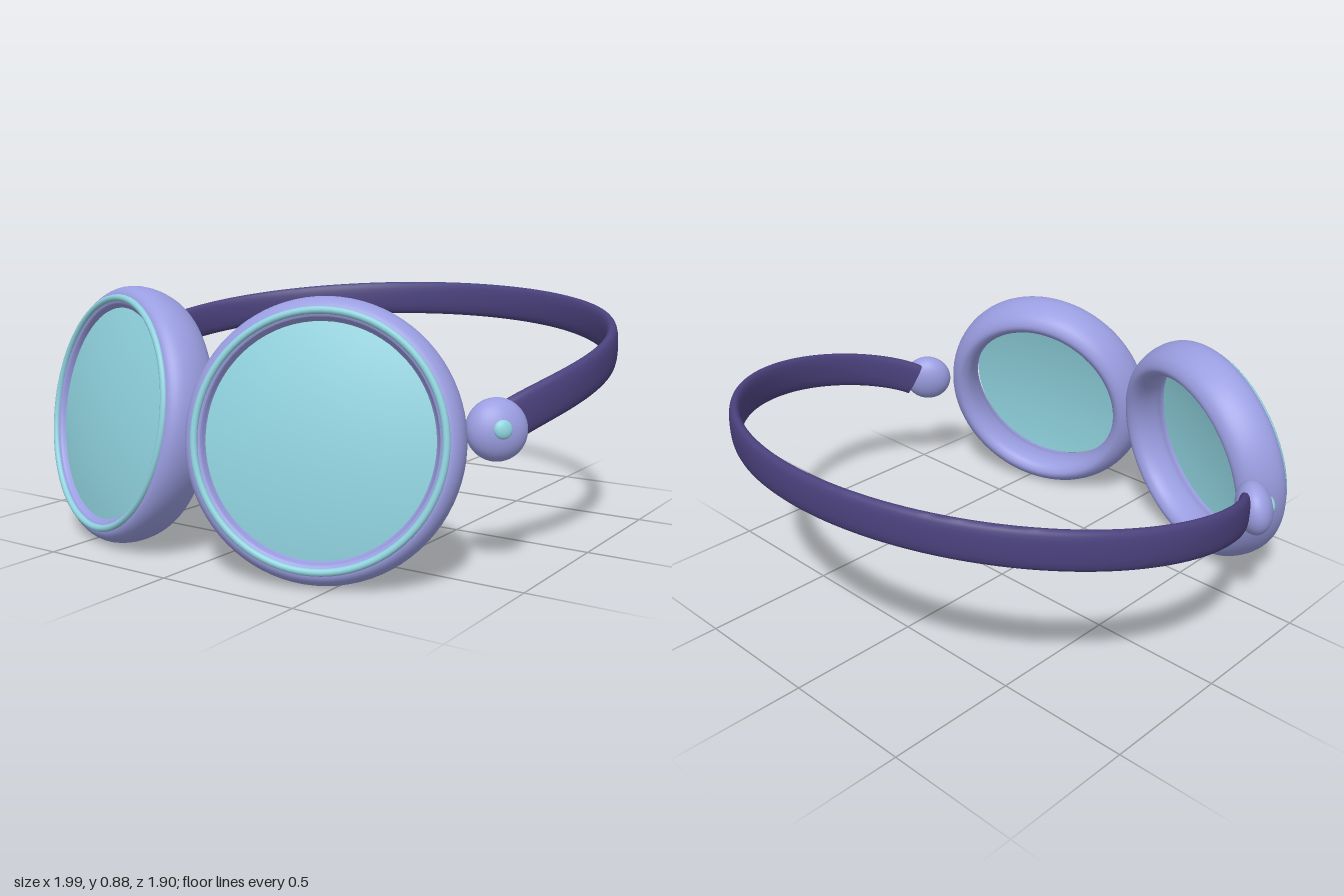
import * as THREE from 'three';
import { toCreasedNormals } from 'three/addons/utils/BufferGeometryUtils.js';

function material(name, color) {
  const m = new THREE.MeshStandardMaterial({ color });
  m.name = name;
  return m;
}

function mesh(name, geometry, mat) {
  const m = new THREE.Mesh(geometry, mat);
  m.name = name;
  return m;
}

// Group facing outwards by yaw and upwards by pitch
function tilted(name, x, y, z, yaw, pitch) {
  const g = new THREE.Group();
  g.name = name;
  g.position.set(x, y, z);
  g.rotation.set(-pitch, yaw, 0, 'YXZ');
  return g;
}

// Rounded cup wall, closed profile turned about z, front lip at z = 0
function cupGeometry() {
  const points = [
    [0.377, -0.006], [0.368, -0.03], [0.348, -0.06], [0.336, -0.1], [0.333, -0.142],
    [0.344, -0.177], [0.373, -0.195], [0.411, -0.175], [0.437, -0.125], [0.445, -0.07],
    [0.437, -0.03], [0.418, -0.006], [0.395, 0],
  ].map(([r, h]) => new THREE.Vector3(r, h, 0));
  const curve = new THREE.CatmullRomCurve3(points, true);
  const profile = curve.getPoints(52).map(p => new THREE.Vector2(p.x, p.y));
  return new THREE.LatheGeometry(profile, 80).rotateX(Math.PI / 2);
}

// Shallow spherical cap for the lens, edge at z = 0
function lensGeometry(radius, height) {
  const R = (radius * radius + height * height) / (2 * height);
  return new THREE.SphereGeometry(R, 72, 8, 0, Math.PI * 2, 0, Math.asin(radius / R))
    .rotateX(Math.PI / 2).translate(0, 0, height - R);
}

// Elliptical head strap that rises towards the back
function strapGeometry() {
  const steps = 120, sides = 24, end = 2.075;
  const centre = phi => {
    const z = -0.08 - 0.85 * Math.cos(phi);
    const t = Math.max(0, (0.345 - z) / 1.275);
    return new THREE.Vector3(0.975 * Math.sin(phi), 0.44 + 0.31 * Math.pow(t + 0.02, 0.55), z);
  };
  const soft = v => Math.sign(v) * Math.pow(Math.abs(v), 0.8);
  const pos = [], index = [];
  for (let i = 0; i <= steps; i++) {
    const phi = -end + (2 * end * i) / steps;
    const c = centre(phi);
    const T = centre(phi + 0.01).sub(centre(phi - 0.01)).normalize();
    const N = new THREE.Vector3(0.85 * Math.sin(phi), 0, -0.975 * Math.cos(phi)).normalize();
    const U = T.clone().cross(N).normalize();
    for (let j = 0; j < sides; j++) {
      const a = (j / sides) * Math.PI * 2;
      const p = c.clone().addScaledVector(N, 0.0225 * soft(Math.cos(a)))
        .addScaledVector(U, 0.07 * soft(Math.sin(a)));
      pos.push(p.x, p.y, p.z);
    }
  }
  for (let i = 0; i < steps; i++) {
    for (let j = 0; j < sides; j++) {
      const k = (j + 1) % sides;
      const a = i * sides + j, b = i * sides + k;
      index.push(a, b, a + sides, b, b + sides, a + sides);
    }
  }
  // End caps
  const last = steps * sides;
  for (let j = 1; j < sides - 1; j++) {
    index.push(0, j + 1, j, last, last + j, last + j + 1);
  }
  const g = new THREE.BufferGeometry();
  g.setAttribute('position', new THREE.Float32BufferAttribute(pos, 3));
  g.setIndex(index);
  return toCreasedNormals(g, 0.9);
}

export function createModel() {
  const lavender = material('lavender frame', 0x9a9de0);
  const teal = material('teal lens', 0x8fd2de);
  teal.side = THREE.DoubleSide;
  const purple = material('dark purple strap', 0x4b427e);

  const model = new THREE.Group();
  model.name = 'goggles';

  const cup = cupGeometry();
  const lens = lensGeometry(0.364, 0.036);
  const trim = new THREE.TorusGeometry(0.396, 0.012, 12, 80);
  const ball = new THREE.SphereGeometry(1, 36, 24);

  for (const [side, s] of [['left', 1], ['right', -1]]) {
    // Eye cup with lens and thin front trim
    const eye = tilted(side + 'EyeCup', 0.441 * s, 0.456, 0.791, 0.333 * s, 0.174);
    const glass = mesh(side + 'Lens', lens, teal);
    glass.position.z = -0.02;
    eye.add(mesh(side + 'CupWall', cup, lavender), glass, mesh(side + 'LensTrim', trim, teal));
    model.add(eye);

    // Strap joint with a small button
    const joint = tilted(side + 'StrapJoint', 0.85 * s, 0.474, 0.405, 0.785 * s, 0.174);
    const knob = mesh(side + 'JointKnob', ball, lavender);
    knob.scale.set(0.1, 0.1, 0.066);
    const button = mesh(side + 'JointButton', ball, teal);
    button.scale.set(0.03, 0.03, 0.014);
    button.position.z = 0.062;
    joint.add(knob, button);
    model.add(joint);
  }

  model.add(mesh('headStrap', strapGeometry(), purple));
  return model;
}
